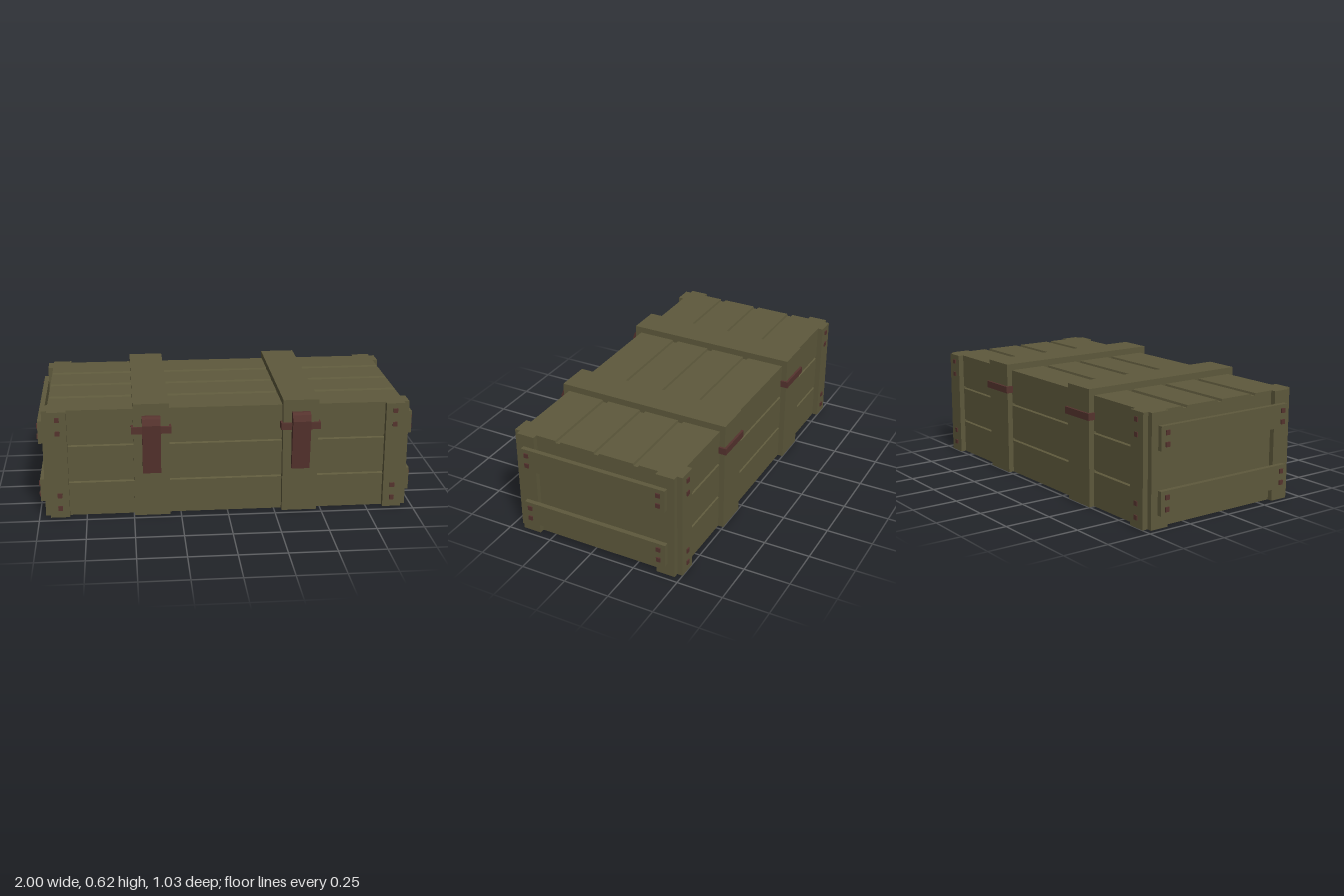
import * as THREE from 'three';

const olive = new THREE.MeshStandardMaterial({ color: 0x5e593c });
olive.name = 'olive paint';
const rust = new THREE.MeshStandardMaterial({ color: 0x55332e });
rust.name = 'red brown metal';

// Box given by its minimum and maximum corners
function box(name, mat, x0, x1, y0, y1, z0, z1) {
  const mesh = new THREE.Mesh(new THREE.BoxGeometry(x1 - x0, y1 - y0, z1 - z0), mat);
  mesh.position.set((x0 + x1) / 2, (y0 + y1) / 2, (z0 + z1) / 2);
  mesh.name = name;
  return mesh;
}

// Profile of [z, y] points swept along x, centred on x = cx
function sweep(name, mat, points, width, cx) {
  const shape = new THREE.Shape(points.map(([z, y]) => new THREE.Vector2(z, y)));
  const geo = new THREE.ExtrudeGeometry(shape, { depth: width, bevelEnabled: false });
  geo.translate(0, 0, -width / 2);
  geo.rotateY(-Math.PI / 2);
  const mesh = new THREE.Mesh(geo, mat);
  mesh.position.x = cx;
  mesh.name = name;
  return mesh;
}

export function createModel() {
  const model = new THREE.Group();
  model.name = 'crate';
  const FRONT = 0.43, BACK = -0.47, TOP = 0.585, END = 0.94;

  // Body with plank grooves cut into front, top and back
  const depth = 0.012;
  const sideGrooves = [0.192, 0.395];
  const profile = [[BACK, 0], [FRONT, 0]];
  for (const y of sideGrooves) {
    profile.push([FRONT, y - 0.01], [FRONT - depth, y - 0.005], [FRONT - depth, y + 0.005], [FRONT, y + 0.006]);
  }
  profile.push([FRONT, TOP]);
  for (const z of [0.202, -0.022, -0.246]) {
    profile.push([z + 0.017, TOP], [z + 0.014, TOP - depth], [z - 0.008, TOP - depth], [z - 0.017, TOP]);
  }
  profile.push([BACK, TOP]);
  for (const y of [...sideGrooves].reverse()) {
    profile.push([BACK, y + 0.006], [BACK + depth, y + 0.005], [BACK + depth, y - 0.005], [BACK, y - 0.01]);
  }
  model.add(sweep('body', olive, profile, 2 * END, 0));

  for (const s of [-1, 1]) {
    const sided = (name, mat, a, b, ...rest) =>
      model.add(box(name, mat, Math.min(s * a, s * b), Math.max(s * a, s * b), ...rest));

    // Corner posts: one board on the long side, one on the end
    sided('frontPost', olive, 0.84, END, 0, TOP, FRONT - 0.01, 0.46);
    sided('backPost', olive, 0.84, END, 0, TOP, -0.5, BACK + 0.01);
    sided('frontEndPost', olive, END - 0.01, 0.968, 0, TOP, 0.33, FRONT);
    sided('backEndPost', olive, END - 0.01, 0.968, 0, TOP, BACK, -0.367);

    // Bolts on the front and back posts
    for (const y of [0.053, 0.125, 0.47, 0.545]) {
      sided('frontBolt', rust, 0.876, 0.9, y - 0.012, y + 0.012, 0.45, 0.468);
      sided('backBolt', rust, 0.876, 0.9, y - 0.012, y + 0.012, -0.506, -0.49);
    }

    // End rails with their bolts
    for (const [y0, y1] of [[0.07, 0.195], [0.395, 0.518]]) {
      sided('endRail', olive, 0.967, 0.993, y0, y1, -0.43, 0.395);
      for (const y of [y0 + 0.031, y1 - 0.033]) {
        for (const z of [-0.393, 0.364]) {
          sided('railBolt', rust, 0.985, 1, y - 0.012, y + 0.012, z - 0.012, z + 0.012);
        }
      }
    }
  }

  // Raised bands over the crate, with metal straps and latches
  const latch = [[0.46, 0.245], [0.486, 0.245], [0.513, 0.515], [0.5, 0.547], [0.482, 0.557], [0.46, 0.557]];
  for (const x of [-0.402, 0.384]) {
    model.add(box('band', olive, x - 0.094, x + 0.094, 0, 0.62, -0.5, 0.465));
    model.add(box('frontStrap', rust, x - 0.105, x + 0.105, 0.46, 0.497, 0.425, 0.478));
    model.add(box('backStrap', rust, x - 0.105, x + 0.105, 0.46, 0.497, -0.512, -0.465));
    model.add(sweep('latch', rust, latch, 0.096, x));
  }
  return model;
}
